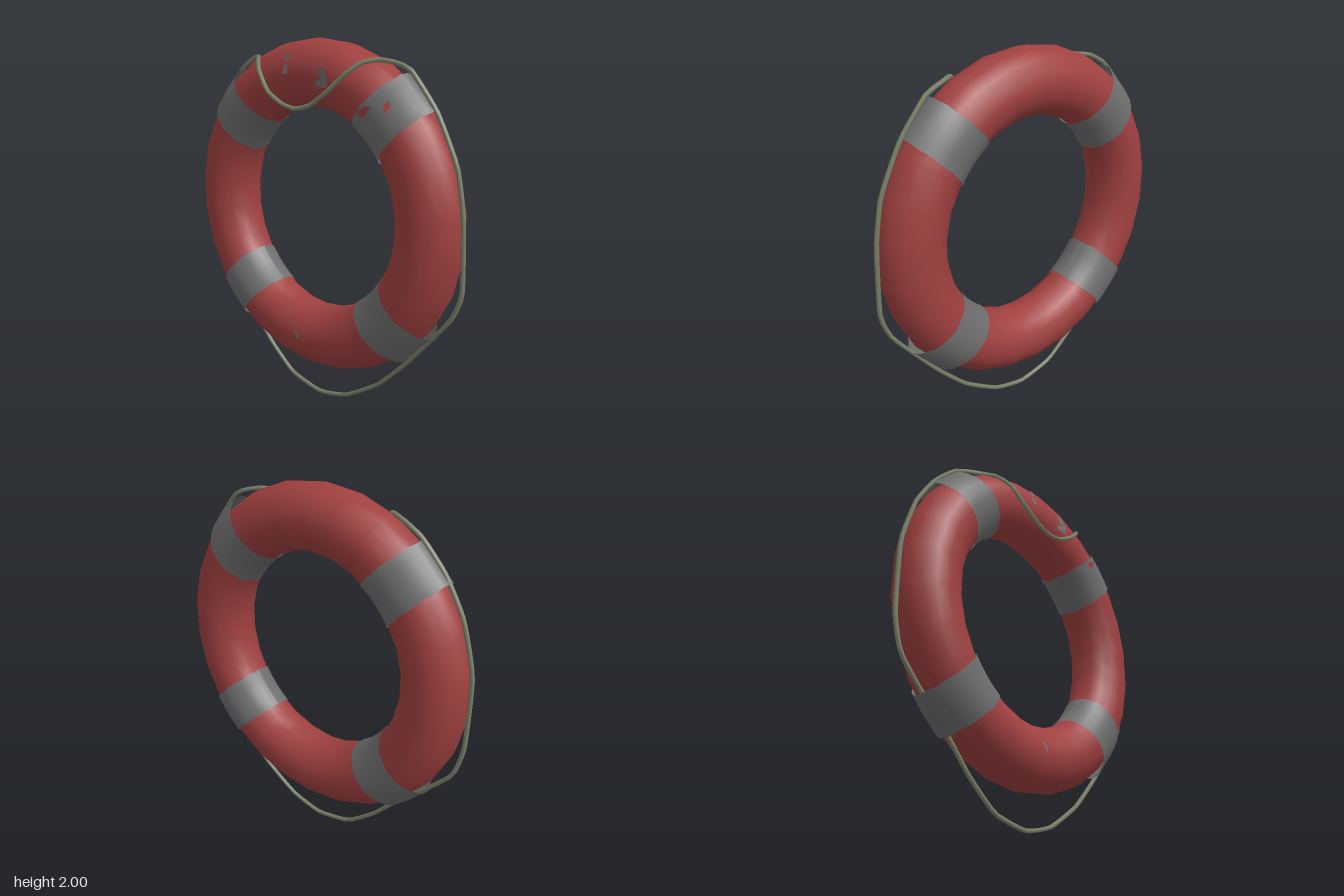
import * as THREE from 'three';

const CX = -0.01, CY = 1.1, CZ = -0.018; // ring centre
const R = 0.725, TUBE = 0.175, DEPTH = 0.16; // ring radius, tube radius in plane and in depth

const material = (name, color, side = THREE.FrontSide) => {
  const m = new THREE.MeshStandardMaterial({ color, side });
  m.name = name;
  return m;
};

// Fabric strap wrapped round the tube with parallel edges, pulled out where it holds the rope
function strapGeometry(angle) {
  const geo = new THREE.PlaneGeometry(1, 1, 4, 24);
  const p = geo.attributes.position;
  for (let i = 0; i < p.count; i++) {
    const phi = p.getY(i) * 2 * Math.PI;
    const t = p.getX(i) * 0.234 + 0.003 * Math.sin(phi * 9) * Math.sign(p.getX(i));
    const rho = R + (TUBE + 0.009) * Math.cos(phi);
    const pull = Math.pow(Math.max(0, Math.cos(phi)), 14);
    const r = THREE.MathUtils.lerp(Math.sqrt(rho * rho - t * t), 0.925, pull);
    p.setXYZ(i,
      CX + r * Math.cos(angle) - t * Math.sin(angle),
      CY + r * Math.sin(angle) + t * Math.cos(angle),
      CZ + (DEPTH + 0.007) * Math.sin(phi));
  }
  geo.computeVertexNormals();
  return geo;
}

// Thin worn patch laid on the front of the tube
function patchGeometry(outline, lift) {
  const geo = new THREE.ShapeGeometry(new THREE.Shape(outline.map(([x, y]) => new THREE.Vector2(x, y))));
  const p = geo.attributes.position;
  for (let i = 0; i < p.count; i++) {
    const k = (Math.hypot(p.getX(i) - CX, p.getY(i) - CY) - R) / TUBE;
    p.setZ(i, CZ + DEPTH * Math.sqrt(Math.max(0, 1 - k * k)) + lift);
  }
  geo.computeVertexNormals();
  return geo;
}

export function createModel() {
  const model = new THREE.Group();
  model.name = 'lifeRing';
  const red = material('faded red', 0xa04040);
  const grey = material('grey strap', 0x6e6e6e, THREE.DoubleSide);
  const green = material('rope green', 0x7a8068);

  const add = (name, geo, mat) => {
    const mesh = new THREE.Mesh(geo, mat);
    mesh.name = name;
    model.add(mesh);
  };

  // Buoyant ring
  const ring = new THREE.TorusGeometry(R, TUBE, 16, 26);
  ring.rotateZ(Math.PI / 2);
  ring.scale(1, 1, DEPTH / TUBE);
  ring.translate(CX, CY, CZ);
  ring.computeVertexNormals();
  const smooth = new THREE.TorusGeometry(R, TUBE, 16, 26);
  smooth.rotateZ(Math.PI / 2);
  ring.setAttribute('normal', smooth.attributes.normal);
  add('ring', ring, red);

  // Four straps
  [['strapTopLeft', 45.5], ['strapTopRight', 136.5], ['strapBottomRight', 226.5], ['strapBottomLeft', -42.4]]
    .forEach(([name, deg]) => add(name, strapGeometry(THREE.MathUtils.degToRad(deg)), grey));

  // Grab rope: hangs below, runs outside the ring and drapes over the front at the top
  const z = -0.013;
  const path = [
    [0, 0.013, z], [-0.22, 0.06, z], [-0.4, 0.2, z], [-0.55, 0.36, z], [-0.72, 0.52, z], [-0.86, 0.67, z],
    [-0.91, 0.85, z], [-0.913, 1.23, z], [-0.84, 1.5, z], [-0.73, 1.69, z], [-0.6, 1.83, z],
    [-0.5, 1.885, -0.005], [-0.42, 1.9, 0.03], [-0.36, 1.885, 0.09], [-0.3, 1.83, 0.14], [-0.21, 1.73, 0.166],
    [-0.1, 1.67, 0.168], [0, 1.65, 0.168], [0.1, 1.675, 0.168], [0.21, 1.745, 0.166], [0.3, 1.83, 0.14],
    [0.36, 1.885, 0.09], [0.42, 1.9, 0.03], [0.5, 1.885, -0.005], [0.58, 1.85, z], [0.73, 1.67, z],
    [0.85, 1.43, z], [0.895, 1.2, z], [0.91, 0.84, z], [0.86, 0.7, z], [0.75, 0.56, z],
    [0.6, 0.38, z], [0.42, 0.2, z], [0.2, 0.06, z],
  ].map((q) => new THREE.Vector3(...q));
  const curve = new THREE.CatmullRomCurve3(path, true, 'catmullrom', 0.25);
  add('rope', new THREE.TubeGeometry(curve, 120, 0.012, 6, true), green);

  // Worn spots on the ring
  [
    [[-0.12, 1.92], [-0.115, 1.82], [-0.085, 1.82], [-0.09, 1.92]],
    [[0.11, 1.77], [0.19, 1.76], [0.19, 1.82], [0.13, 1.88]],
    [[-0.05, 0.42], [-0.02, 0.37], [-0.015, 0.4], [-0.04, 0.43]],
  ].forEach((o, i) => add('wornSpot' + (i + 1), patchGeometry(o, 0.004), grey));

  // Red scuffs on one strap
  [
    [[0.39, 1.66], [0.42, 1.63], [0.47, 1.69], [0.44, 1.69]],
    [[0.53, 1.7], [0.55, 1.66], [0.565, 1.7], [0.55, 1.72]],
  ].forEach((o, i) => add('strapScuff' + (i + 1), patchGeometry(o, 0.012), red));

  return model;
}
